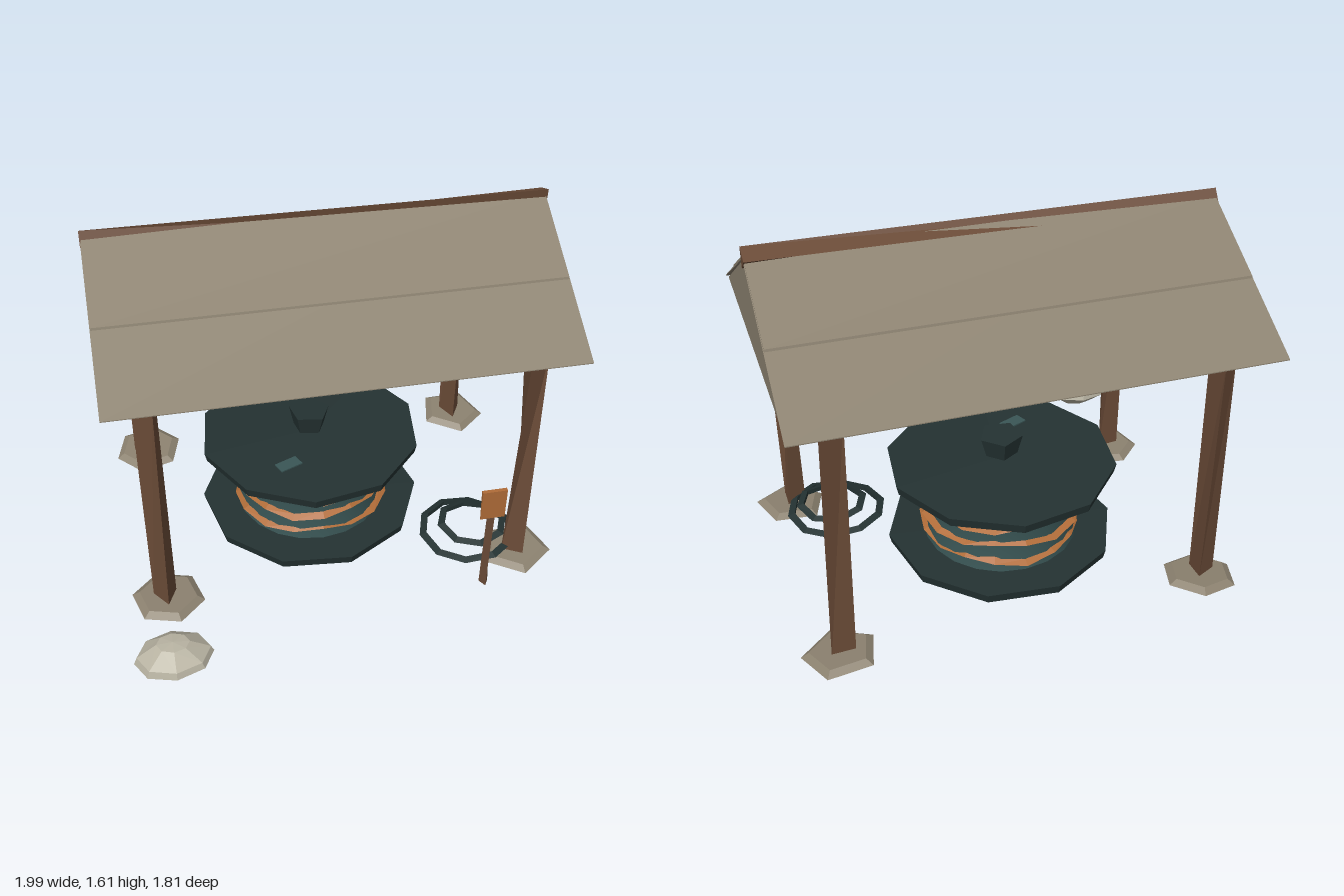
import * as THREE from 'three';

const mat = (name, color, flatShading = true) => {
  const m = new THREE.MeshStandardMaterial({ color, flatShading });
  m.name = name;
  return m;
};

export function createModel() {
  const model = new THREE.Group();
  const canvas = mat('weathered canvas', 0x8c8270);
  canvas.side = THREE.DoubleSide;
  const wood = mat('dark wood', 0x6a4b37);
  const iron = mat('dark teal iron', 0x243232);
  const drumTeal = mat('drum teal', 0x3a5656, false);
  const copper = mat('copper', 0xb06c38);
  const rockGrey = mat('pale rock', 0xb8b3a2);

  const add = (name, geo, material, x = 0, y = 0, z = 0, parent = model) => {
    const m = new THREE.Mesh(geo, material);
    m.name = name;
    m.position.set(x, y, z);
    parent.add(m);
    return m;
  };

  // Move every vertex by a rule
  const warp = (geo, rule) => {
    const p = geo.attributes.position;
    const v = new THREE.Vector3();
    for (let i = 0; i < p.count; i++) {
      v.fromBufferAttribute(p, i);
      rule(v);
      p.setXYZ(i, v.x, v.y, v.z);
    }
    geo.computeVertexNormals();
    return geo;
  };

  // Outline in (z, y) extruded along x
  const prism = (points, x0, x1) => {
    const shape = new THREE.Shape(points.map(([z, y]) => new THREE.Vector2(-z, y)));
    return new THREE.ExtrudeGeometry(shape, { depth: x1 - x0, bevelEnabled: false })
      .rotateY(Math.PI / 2).translate(x0, 0, 0);
  };

  // Three-sided timber that twists along its height
  const timber = (rBottom, rTop, h, turn, twist) =>
    warp(new THREE.CylinderGeometry(1, 1, h, 3, 1), (v) => {
      const t = v.y / h + 0.5;
      const r = rBottom + (rTop - rBottom) * t;
      v.set(v.x * r, v.y, v.z * r).applyAxisAngle(new THREE.Vector3(0, 1, 0), turn + twist * t);
    });

  // Roof: two thin slopes, overlapping upper sheets, gables and a ridge beam
  const ridgeZ = -0.195;
  const roof = new THREE.Group();
  roof.name = 'roof';
  model.add(roof);
  for (const s of [1, -1]) {
    const at = (d, y) => [ridgeZ + s * d, y];
    const side = s > 0 ? 'front' : 'back';
    add(side + 'RoofSlope', prism([at(0, 1.575), at(0.715, 1.172), at(0.715, 1.176), at(0, 1.582)], -0.993, 0.993), canvas, 0, 0, 0, roof);
    add(side + 'UpperSheet', prism([at(0.02, 1.572), at(0.375, 1.37), at(0.372, 1.38), at(0.0, 1.59)], -0.99, 0.99), canvas, 0, 0, 0, roof);
    add(s > 0 ? 'leftGable' : 'rightGable',
      prism([[0.45, 1.198], [-0.84, 1.198], [ridgeZ, 1.572]], s * 0.985 - 0.003, s * 0.985 + 0.003), canvas, 0, 0, 0, roof);
  }
  add('ridgeBeam', timber(0.04, 0.05, 1.99, 0.6, 0.6).rotateZ(-Math.PI / 2), wood, 0, 1.574, ridgeZ, roof);

  // Posts on flat foot stones
  const corners = [
    [0.81, 0.35, 0.5, 1.05], [-0.81, 0.35, 0.1, 0.25],
    [0.81, -0.73, 0, 0.3], [-0.81, -0.73, 0.5, 0.2],
  ];
  corners.forEach(([x, z, turn, twist], i) => {
    add('post', timber(0.059, 0.062, 1.12, turn, twist), wood, x, 0.58, z);
    const foot = add('footStone', new THREE.CylinderGeometry(0.13, 0.165, 0.022, 5 + (i % 2)), canvas, x + 0.01, 0.028, z - 0.01);
    foot.rotation.set(0.05, i * 1.3, (i % 2 ? -1 : 1) * 0.06);
  });

  // Drum with two flanges
  const drum = new THREE.Group();
  drum.name = 'drum';
  drum.position.set(-0.055, 0, -0.19);
  model.add(drum);
  const wall = [[0.352, 0.07], [0.34, 0.15], [0.337, 0.24], [0.342, 0.33], [0.355, 0.42]];
  add('drumWall', new THREE.LatheGeometry(wall.map(([r, y]) => new THREE.Vector2(r, y)), 20), drumTeal, 0, 0, 0, drum);
  [['bottomFlange', 0.062, 0.2], ['topFlange', 0.43, 0.5]].forEach(([name, y, turn]) => {
    const geo = warp(new THREE.CylinderGeometry(0.515, 0.505, 0.042, 10).rotateY(turn), (v) => {
      const a = Math.atan2(v.z, v.x);
      if (Math.hypot(v.x, v.z) > 0.1) v.y += 0.006 * Math.sin(2 * a + turn * 4);
    });
    add(name, geo, iron, 0, y, 0, drum);
  });
  add('flangePatch', new THREE.BoxGeometry(0.11, 0.006, 0.06), drumTeal, -0.14, 0.456, 0.24, drum).rotation.y = 0.4;
  const knob = add('knob', new THREE.CylinderGeometry(0.098, 0.074, 0.092, 5), iron, 0, 0.522, 0, drum);
  knob.rotation.set(0, 0.5, -0.03);

  // Uneven copper windings round the drum
  [0.125, 0.212, 0.298, 0.382].forEach((y, k) => {
    const geo = warp(new THREE.TorusGeometry(0.344, 0.019, 3, 16).rotateX(Math.PI / 2), (v) => {
      const a = Math.atan2(v.z, v.x);
      const s = 1 + 0.028 * Math.sin(3 * a + k * 2.1);
      v.set(v.x * s, v.y * (1 + 0.3 * Math.sin(4 * a + k)) + 0.011 * Math.sin(5 * a + k * 1.7), v.z * s);
    });
    add('winding', geo, copper, 0, y, 0, drum);
  });

  // Loose cable coil on the ground
  [[0.21, 0.048, 10], [0.145, 0.088, 8]].forEach(([r, y, n], k) => {
    const geo = warp(new THREE.TorusGeometry(r, 0.022, 3, n).rotateX(Math.PI / 2), (v) => {
      v.y = v.y * 0.6 + 0.008 * Math.sin(2 * Math.atan2(v.z, v.x) + k);
    });
    add('cableLoop', geo, iron, 0.63 + k * 0.02, y, 0.2);
  });

  // Small marker sign
  add('signStake', timber(0.024, 0.02, 0.41, 0, 0.9), wood, 0.62, 0.205, 0.51);
  add('signBoard', warp(new THREE.BoxGeometry(0.11, 0.155, 0.018), (v) => {
    if (v.y < 0) v.z *= 0.2;
  }), copper, 0.62, 0.492, 0.535);

  // Boulder
  const profile = [[0, 0.035], [0.09, 0.05], [0.168, 0.105], [0.155, 0.135], [0.07, 0.19], [0, 0.196]];
  const boulder = new THREE.LatheGeometry(profile.map(([r, y]) => new THREE.Vector2(r, y)), 8);
  add('boulder', warp(boulder, (v) => {
    v.z *= 0.77;
    v.y += 0.05 * v.x * Math.sin(v.y * 20);
  }), rockGrey, -0.812, 0, 0.775);

  return model;
}
